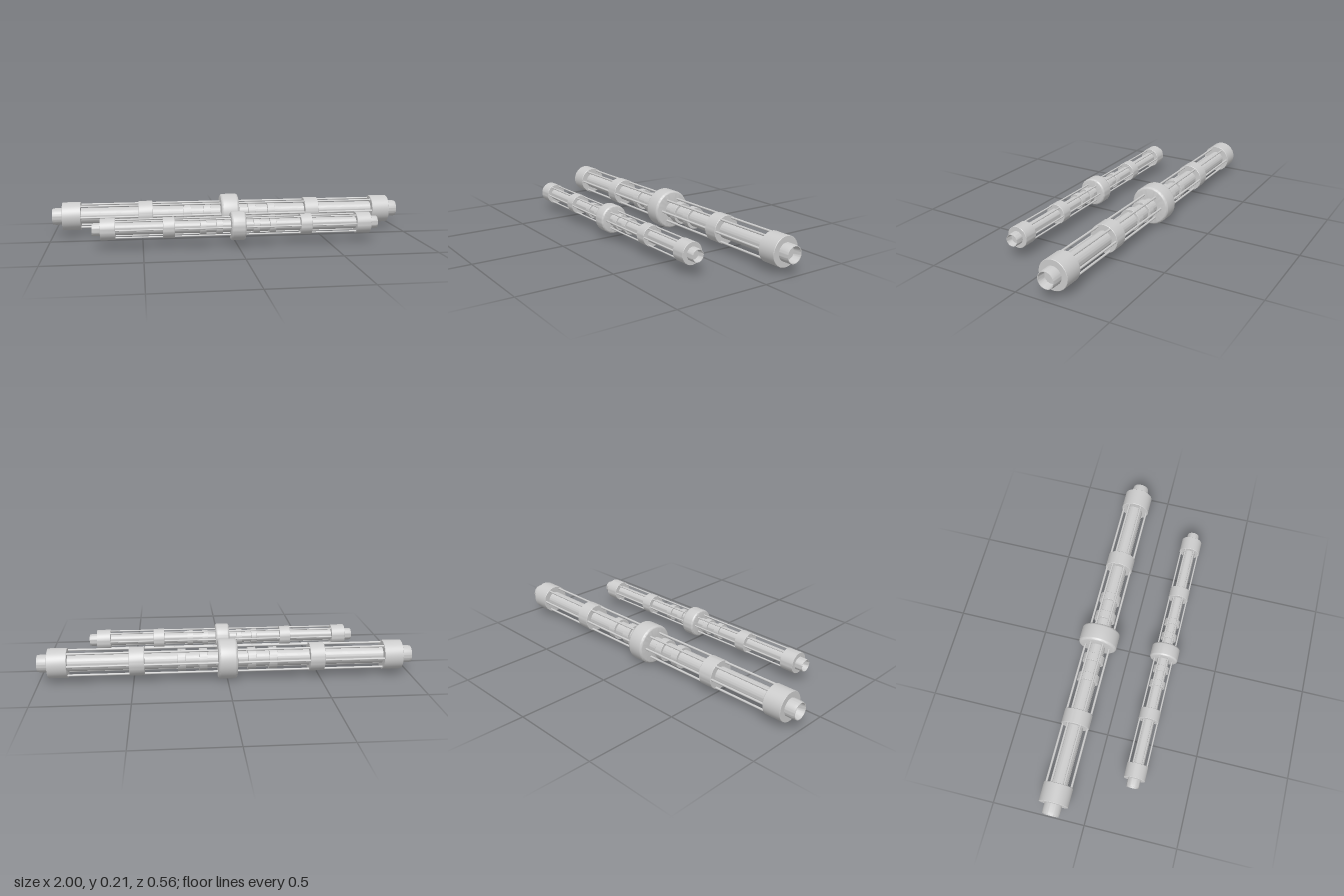
import * as THREE from 'three';
import { toCreasedNormals } from 'three/addons/utils/BufferGeometryUtils.js';

const material = new THREE.MeshStandardMaterial({ color: 0xcccccc });

// Turned part around the x axis; the profile is a list of [radius, x] running toward +x.
function turned(name, profile, segments = 48) {
  const points = profile.map(([r, x]) => new THREE.Vector2(r, x));
  const geometry = toCreasedNormals(new THREE.LatheGeometry(points, segments), 0.6);
  geometry.rotateZ(-Math.PI / 2);
  const mesh = new THREE.Mesh(geometry, material);
  mesh.name = name;
  return mesh;
}

// Solid ring from x0 to x1 with a small bevel, closed down to the inner radius.
function ring(name, x0, x1, radius, inner, bevel) {
  return turned(name, [
    [inner, x0], [radius - bevel, x0], [radius, x0 + bevel],
    [radius, x1 - bevel], [radius - bevel, x1], [inner, x1],
  ]);
}

// One complete rod; lengthScale and radiusScale size it.
function makeRod(name, lengthScale, radiusScale) {
  const L = lengthScale, R = radiusScale;
  const rod = new THREE.Group();
  rod.name = name;

  // Central core
  rod.add(ring('core', -0.88 * L, 0.88 * L, 0.045 * R, 0, 0.001));

  // Rounded grip in the middle
  const h = 0.051 * L, r = 0.107 * R, f = 0.014 * R;
  const profile = [[0.03 * R, -h]];
  for (const side of [-1, 1]) {
    for (let i = 0; i <= 6; i++) {
      const a = side * (Math.PI / 2) * (side < 0 ? 1 - i / 6 : i / 6);
      profile.push([r - f + f * Math.cos(a), side * (h - f) + f * Math.sin(a)]);
    }
  }
  profile.push([0.03 * R, h]);
  rod.add(turned('centreGrip', profile, 64));

  // Six thin rails around the core
  for (let i = 0; i < 6; i++) {
    const a = (i / 6) * Math.PI * 2;
    const geometry = new THREE.CylinderGeometry(0.006 * R, 0.006 * R, 1.72 * L, 12);
    geometry.rotateZ(Math.PI / 2);
    const rail = new THREE.Mesh(geometry, material);
    rail.name = 'rail';
    rail.position.set(0, Math.sin(a) * 0.068 * R, Math.cos(a) * 0.068 * R);
    rod.add(rail);
  }

  // Collars, bands, end caps and hollow nozzles, alike on both halves
  for (const side of [0, Math.PI]) {
    const half = new THREE.Group();
    half.name = side ? 'rightHalf' : 'leftHalf';
    half.rotation.y = side;
    for (const x of [0.108, 0.222]) {
      half.add(ring('collar', x * L, (x + 0.043) * L, 0.059 * R, 0.03 * R, 0.001));
    }
    half.add(ring('band', 0.44 * L, 0.52 * L, 0.077 * R, 0.03 * R, 0.002 * R));
    half.add(ring('endCap', 0.842 * L, 0.944 * L, 0.079 * R, 0.03 * R, 0.002 * R));
    half.add(turned('nozzle', [
      [0.047 * R, 0.93 * L], [0.047 * R, 0.985 * L], [0.044 * R, L],
      [0.041 * R, L], [0.034 * R, 0.96 * L], [0, 0.96 * L],
    ]));
    rod.add(half);
  }
  return rod;
}

export function createModel() {
  const model = new THREE.Group();
  model.name = 'rodPair';
  const large = makeRod('largeRod', 1, 1);
  large.position.set(0, 0.108, -0.173);
  const small = makeRod('smallRod', 0.762, 0.725);
  small.position.set(0, 0.108, 0.203);
  model.add(large, small);
  return model;
}
